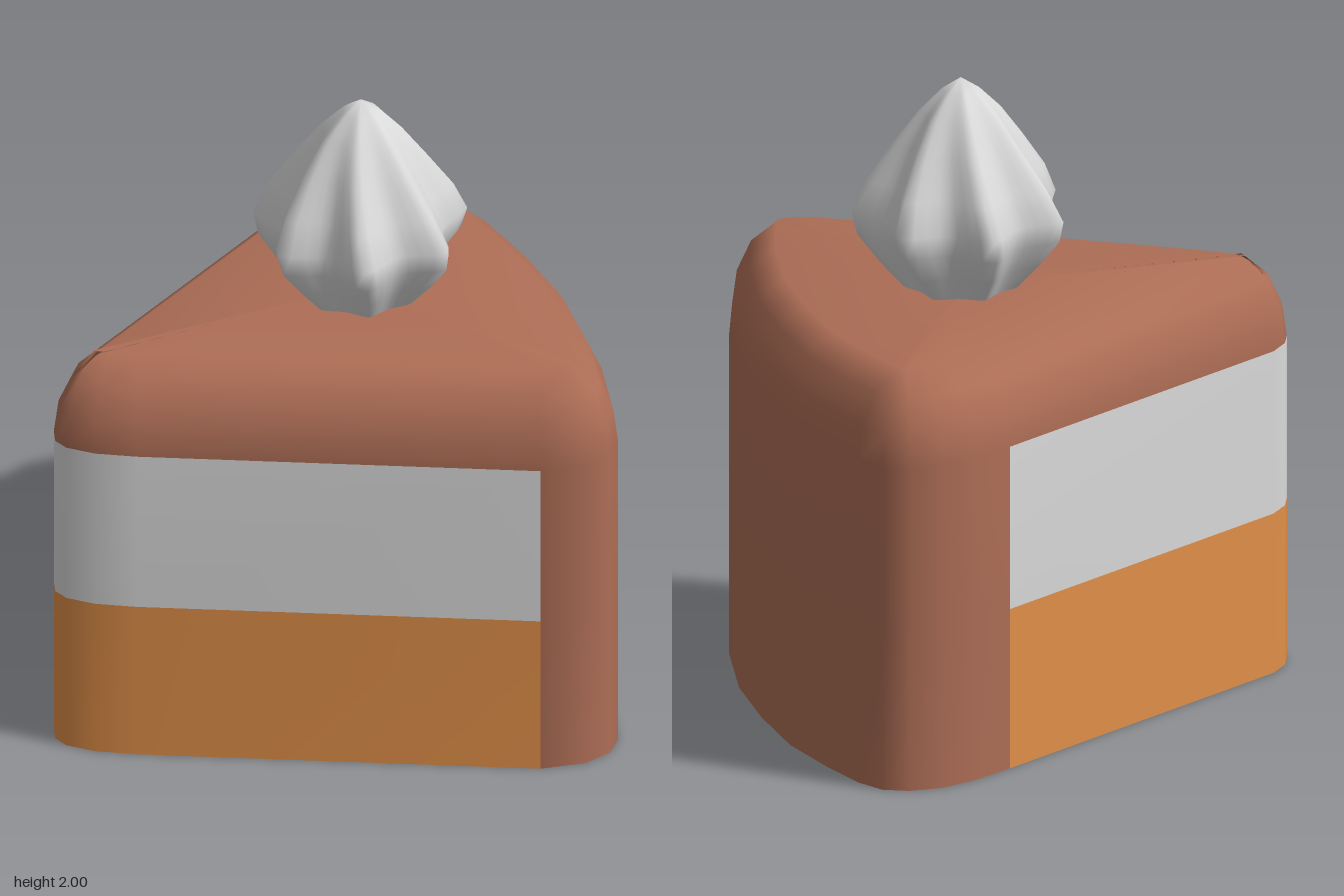
import * as THREE from 'three';

const frosting = new THREE.MeshStandardMaterial({ color: 0xae6e56, side: THREE.DoubleSide });
frosting.name = 'chocolate frosting';
const sponge = new THREE.MeshStandardMaterial({ color: 0xe29049, side: THREE.DoubleSide });
sponge.name = 'orange sponge';
const cream = new THREE.MeshStandardMaterial({ color: 0xdadada, side: THREE.DoubleSide });
cream.name = 'white cream';

// Skin stacked closed rings and close the top with a fan to one point.
// materialAt(row, column) picks the material slot of each wall panel.
function loft(rings, peak, materialAt = () => 0) {
  const n = rings[0].length;
  const buckets = [[], [], []];
  for (let r = 0; r < rings.length - 1; r++) {
    for (let j = 0; j < n; j++) {
      const a = r * n + j;
      const b = r * n + (j + 1) % n;
      buckets[materialAt(r, j)].push(b, a, a + n, b, a + n, b + n);
    }
  }
  const last = (rings.length - 1) * n;
  for (let j = 0; j < n; j++) buckets[0].push(rings.length * n, last + (j + 1) % n, last + j);

  const geometry = new THREE.BufferGeometry();
  geometry.setAttribute('position', new THREE.Float32BufferAttribute([...rings.flat(), peak].flat(), 3));
  geometry.setIndex(buckets.flat());
  let start = 0;
  buckets.forEach((bucket, slot) => {
    if (bucket.length) geometry.addGroup(start, bucket.length, slot);
    start += bucket.length;
  });
  geometry.computeVertexNormals();
  return geometry;
}

// Footprint (x, z): cut front side, tip, cut left side, then the rounded back
const outline = [
  [0.64, 0.76], [-0.6, 0.76], [-0.73, 0.75], [-0.82, 0.72], [-0.857, 0.68], [-0.866, 0.62], [-0.85, 0.54],
  [-0.27, -0.48], [-0.19, -0.61], [-0.11, -0.7], [-0.02, -0.75], [0.065, -0.76], [0.15, -0.715],
  [0.275, -0.605], [0.435, -0.44], [0.58, -0.22], [0.71, 0.02], [0.81, 0.3], [0.865, 0.56],
  [0.845, 0.645], [0.775, 0.715],
];
const cutPanels = 7; // the first panels show the cake layers

// Move the footprint inward along its corner normals
function insetRing(y, distance) {
  const n = outline.length;
  return outline.map(([x, z], i) => {
    const p = new THREE.Vector2(x, z);
    const before = p.clone().sub(new THREE.Vector2(...outline[(i + n - 1) % n])).normalize();
    const after = new THREE.Vector2(...outline[(i + 1) % n]).sub(p).normalize();
    const t = before.add(after).normalize();
    return [x - t.y * distance, y, z + t.x * distance];
  });
}

function createSlice() {
  const levels = [[0, 0], [0.52, 0], [1.05, 0], [1.16, 0.015], [1.26, 0.06], [1.33, 0.14]];
  const rings = levels.map(([y, d]) => insetRing(y, d));
  const layerAt = (row, column) => (column < cutPanels && row < 2 ? row + 1 : 0);
  const slice = new THREE.Mesh(loft(rings, [0.03, 1.33, 0.15], layerAt), [frosting, sponge, cream]);
  slice.name = 'cakeSlice';
  return slice;
}

// Seven-lobed piped swirl
function createSwirl() {
  const profile = [
    [0.17, 1.32], [0.25, 1.41], [0.32, 1.5], [0.337, 1.57], [0.29, 1.67],
    [0.205, 1.79], [0.13, 1.89], [0.06, 1.96],
  ];
  const lobes = 7;
  const steps = lobes * 8;
  const rings = profile.map(([radius, y]) => Array.from({ length: steps }, (_, i) => {
    const angle = (i / steps) * Math.PI * 2;
    const ridge = 1 - Math.abs(Math.sin(angle * lobes / 2)) ** 1.2;
    const depth = 0.24 * Math.min(1, radius / 0.28);
    const r = radius * (1 - depth * (1 - ridge));
    const turned = angle + 1.47 + (y - 1.57) * 0.5;
    return [r * Math.cos(turned), y, r * Math.sin(turned)];
  }));
  const swirl = new THREE.Mesh(loft(rings, [0, 2, 0]), [cream]);
  swirl.name = 'whippedCream';
  swirl.position.set(0.045, 0, 0.165);
  return swirl;
}

export function createModel() {
  const cake = new THREE.Group();
  cake.name = 'cake';
  cake.add(createSlice(), createSwirl());
  return cake;
}
